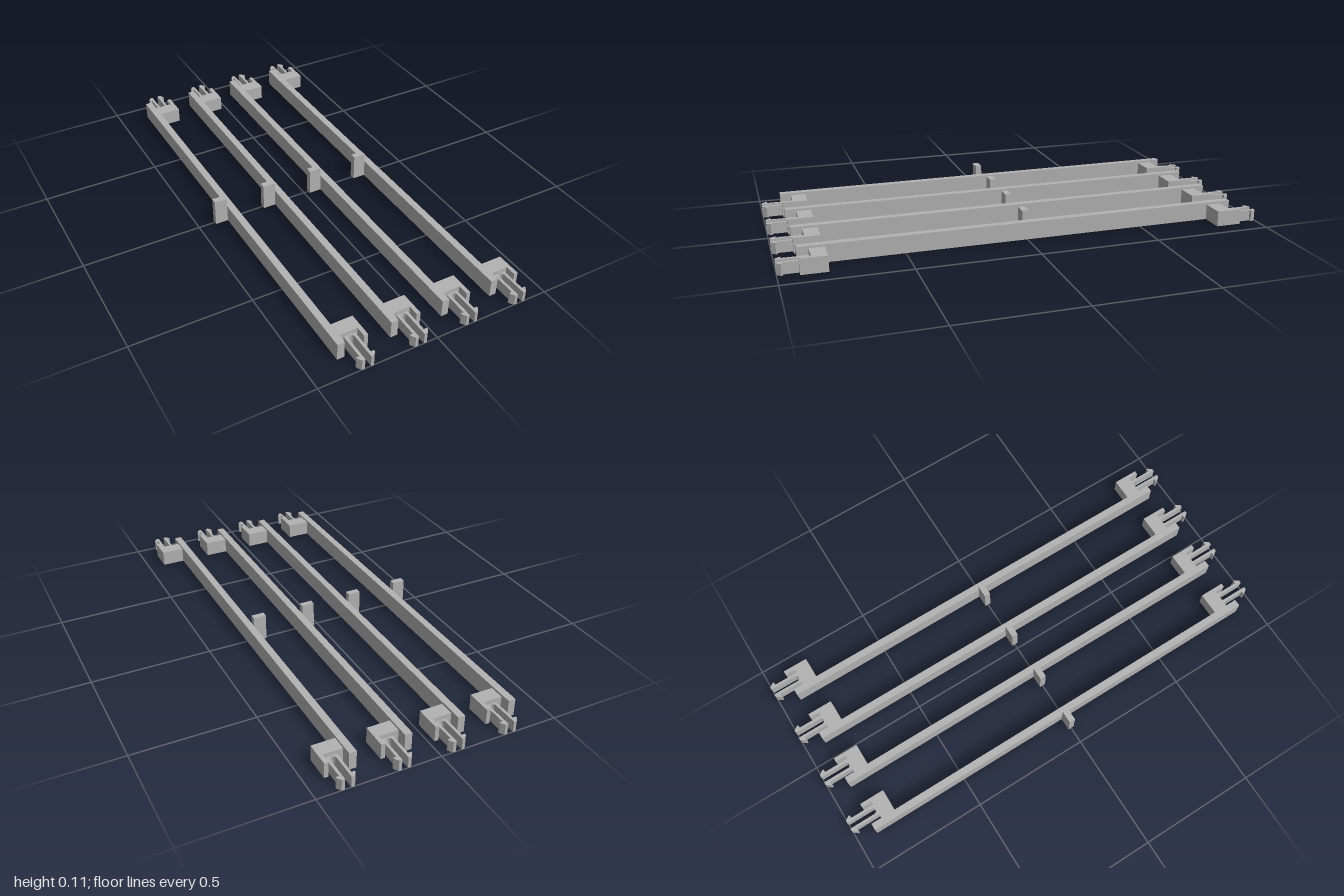
import * as THREE from 'three';

const grey = new THREE.MeshStandardMaterial({ color: 0xb2b2b2 });
grey.name = 'plain grey';

// Box given by its minimum and maximum corners
function box(name, x0, x1, y0, y1, z0, z1) {
  const g = new THREE.BoxGeometry(x1 - x0, y1 - y0, z1 - z0);
  g.translate((x0 + x1) / 2, (y0 + y1) / 2, (z0 + z1) / 2);
  const m = new THREE.Mesh(g, grey);
  m.name = name;
  return m;
}

// Plan outline of [x, z] points raised from the floor; side flips it front to back
function raise(name, points, height, side) {
  const shape = new THREE.Shape(points.map(([x, z]) => new THREE.Vector2(x, z * side)));
  const g = new THREE.ExtrudeGeometry(shape, { depth: height, bevelEnabled: false });
  g.rotateX(Math.PI / 2);
  g.translate(0, height, 0);
  const m = new THREE.Mesh(g, grey);
  m.name = name;
  return m;
}

// Forked snap clip with outward barbs and a rounded root
function clipOutline(cx) {
  const half = [[0.024, 0.87], [0.024, 0.977], [0.037, 0.977], [0.037, 0.983], [0.025, 1], [0.0125, 1]];
  const points = half.map(([x, z]) => [cx + x, z]);
  for (let i = 0; i <= 10; i++) {
    const a = -Math.PI * i / 10;
    points.push([cx + 0.0125 * Math.cos(a), 0.888 + 0.0125 * Math.sin(a)]);
  }
  return points.concat(half.slice().reverse().map(([x, z]) => [cx - x, z]));
}

// One rail with a middle tab and a clip connector at each end
function makeRail() {
  const rail = new THREE.Group();
  rail.add(box('railBar', -0.374, -0.344, 0, 0.074, -0.917, 0.917));
  rail.add(box('middleTab', -0.428, -0.374, 0, 0.113, -0.013, 0.013));
  for (const side of [1, -1]) {
    const end = side > 0 ? 'front' : 'back';
    rail.add(raise(end + 'Bracket', [
      [-0.344, 0.81], [-0.247, 0.81], [-0.247, 0.917],
      [-0.264, 0.917], [-0.264, 0.872], [-0.344, 0.872],
    ], 0.065, side));
    rail.add(raise(end + 'Clip', clipOutline(-0.297), 0.047, side));
  }
  return rail;
}

export function createModel() {
  const model = new THREE.Group();
  model.name = 'clipRails';
  for (let i = 0; i < 4; i++) {
    const rail = makeRail();
    rail.name = 'rail' + (i + 1);
    rail.position.x = i * 0.2247;
    model.add(rail);
  }
  return model;
}
